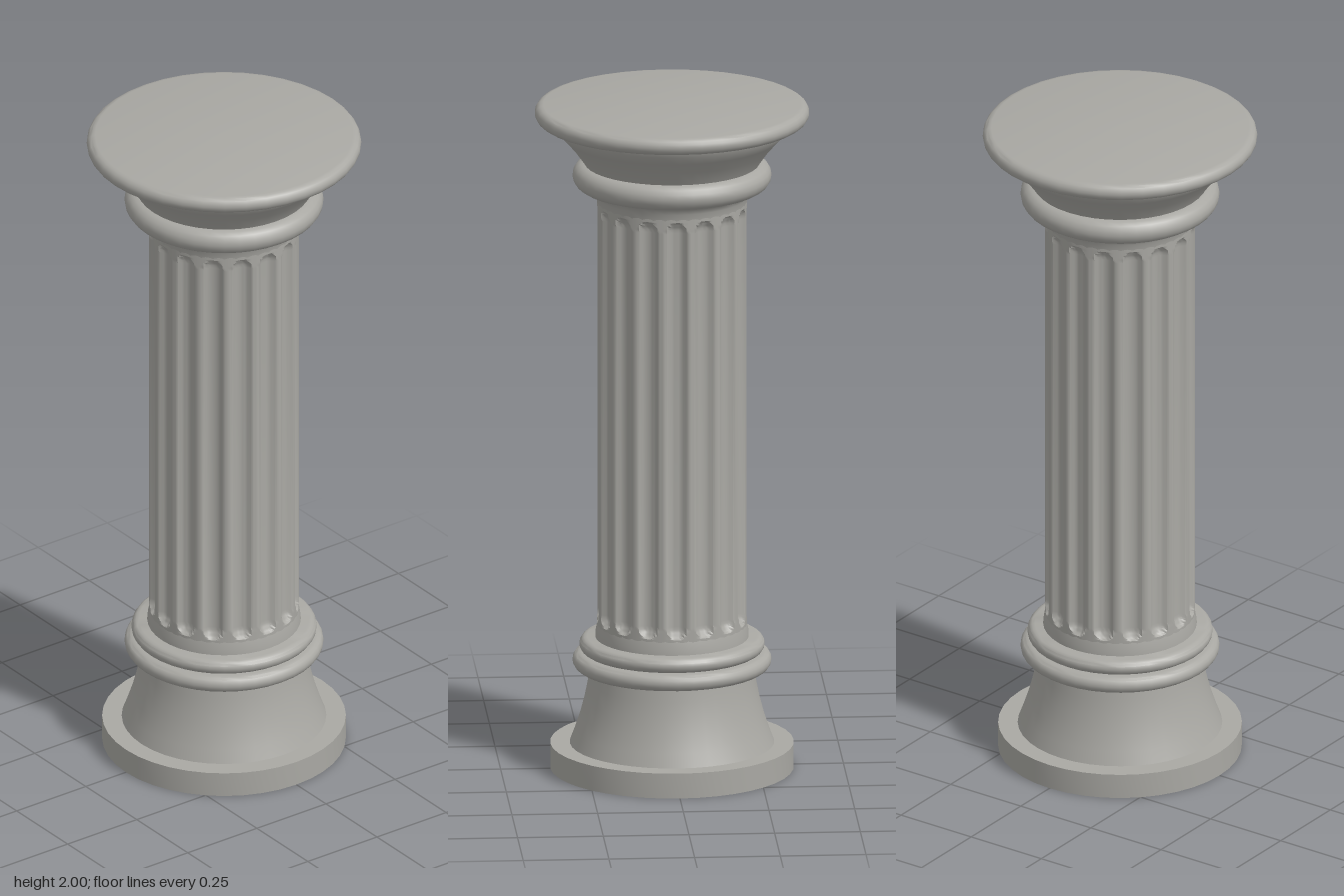
import * as THREE from 'three';
import { mergeVertices, toCreasedNormals } from 'three/addons/utils/BufferGeometryUtils.js';

const SEGMENTS = 40;

export function createModel() {
  const column = new THREE.Group();
  column.name = 'column';
  const stone = new THREE.MeshStandardMaterial({ color: 0xa9a8a3 });
  stone.name = 'stone';

  const add = (name, geometry) => {
    const mesh = new THREE.Mesh(geometry, stone);
    mesh.name = name;
    column.add(mesh);
  };

  // Turned part from [radius, height] pairs, listed bottom to top
  const turned = (name, profile) => {
    const points = profile.map(([r, y]) => new THREE.Vector2(r, y));
    add(name, toCreasedNormals(new THREE.LatheGeometry(points, SEGMENTS), 0.7));
  };

  // Round moulding: half-round edge between two heights, closed to the axis
  const moulding = (name, radius, y0, y1) => {
    const h = (y1 - y0) / 2;
    const profile = [[0, y0]];
    for (let i = 0; i <= 8; i++) {
      const a = -Math.PI / 2 + (Math.PI * i) / 8;
      profile.push([radius - h + h * Math.cos(a), y0 + h + h * Math.sin(a)]);
    }
    profile.push([0, y1]);
    turned(name, profile);
  };

  // Base
  turned('plinth', [[0, 0], [0.355, 0], [0.355, 0.075], [0, 0.075]]);
  turned('flaredBase', [[0.298, 0.075], [0.283, 0.115], [0.268, 0.16], [0.255, 0.21], [0.245, 0.26], [0.24, 0.305]]);
  moulding('lowerBaseRing', 0.29, 0.3, 0.35);
  moulding('upperBaseRing', 0.27, 0.35, 0.395);

  // Fluted shaft: a lathe whose vertices are pushed in along round-ended grooves
  const flutes = 16, perFlute = 12, radius = 0.218, depth = 0.02;
  const low = 0.44, high = 1.7, cap = 0.035;
  const heights = [0.39, low];
  for (let i = 1; i <= 6; i++) heights.push(low + cap * (1 - Math.cos((Math.PI * i) / 12)));
  for (let i = 6; i >= 0; i--) heights.push(high - cap * (1 - Math.cos((Math.PI * i) / 12)));
  heights.push(1.73);
  let shaft = new THREE.LatheGeometry(heights.map((y) => new THREE.Vector2(radius, y)), flutes * perFlute);
  const p = shaft.attributes.position;
  const pitch = (2 * Math.PI) / flutes;
  for (let i = 0; i < p.count; i++) {
    const y = p.getY(i);
    const angle = Math.atan2(p.getX(i), p.getZ(i));
    const u = (angle - Math.round(angle / pitch) * pitch) / (pitch * 0.34);
    const v = Math.max(0, low + cap - y, y - high + cap) / cap;
    const r = radius - depth * Math.sqrt(Math.max(0, 1 - u * u - v * v));
    p.setXYZ(i, r * Math.sin(angle), y, r * Math.cos(angle));
  }
  shaft.deleteAttribute('uv');
  shaft.deleteAttribute('normal');
  shaft = mergeVertices(shaft, 1e-5);
  add('flutedShaft', toCreasedNormals(shaft, 0.8));

  // Plain collars at both ends of the shaft
  turned('lowerCollar', [[0.224, 0.39], [0.223, 0.41], [0.218, 0.435]]);
  turned('upperCollar', [[0.218, 1.705], [0.221, 1.725], [0.228, 1.74], [0.24, 1.748], [0.24, 1.76]]);

  // Capital
  moulding('neckRing', 0.29, 1.75, 1.825);
  turned('flaredCapital', [[0.25, 1.815], [0.258, 1.83], [0.285, 1.868], [0.315, 1.903], [0.345, 1.932], [0.349, 1.955]]);
  moulding('topSlab', 0.4, 1.95, 2);

  return column;
}
